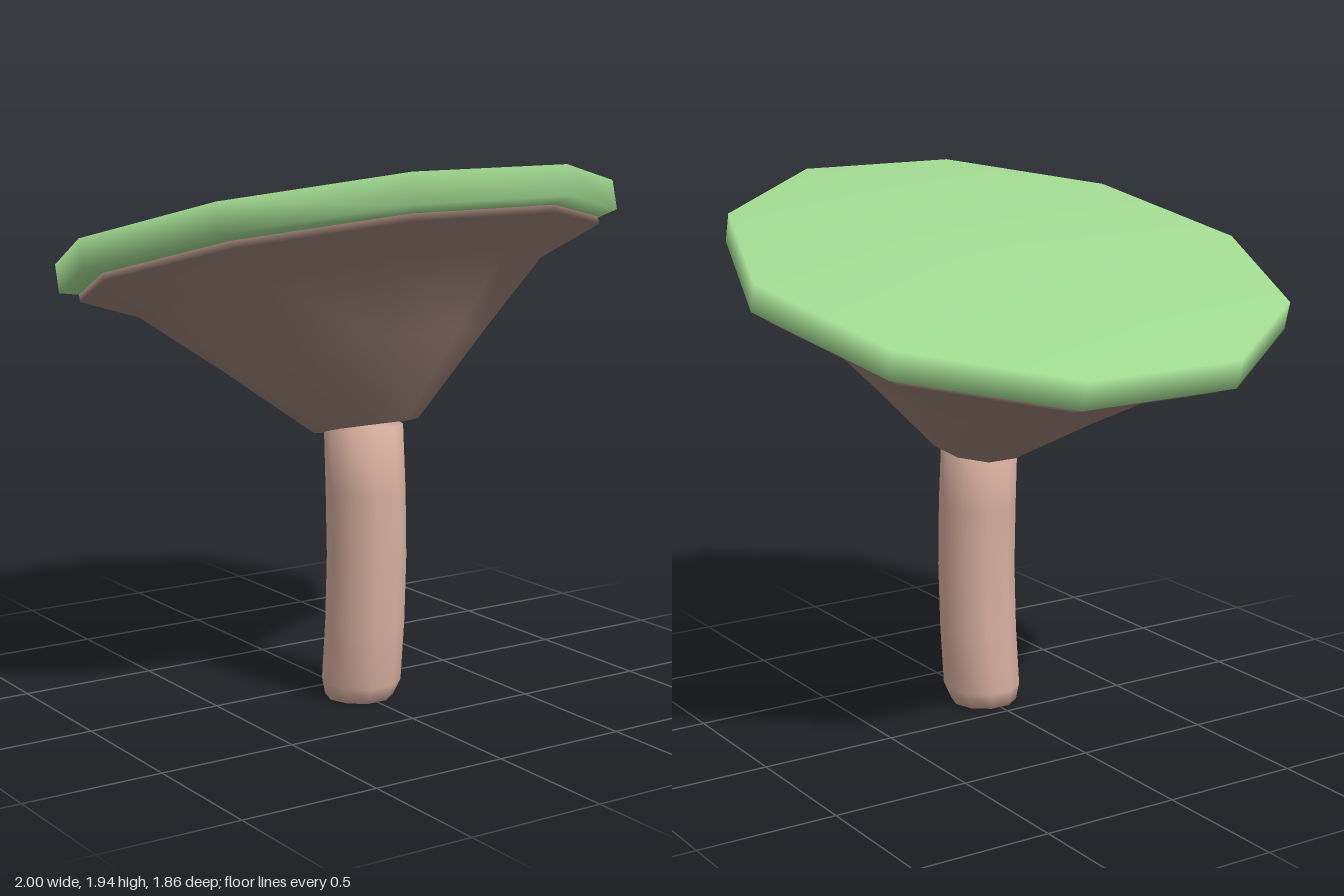
import * as THREE from 'three';
import { mergeVertices } from 'three/addons/utils/BufferGeometryUtils.js';

const SIDES = 10;

// Ten-sided turned solid with softly blended normals.
// Each ring is [radius, height, shift in x, shift in z], listed bottom to top.
function turned(name, color, rings) {
  const profile = rings.map(([r, y]) => new THREE.Vector2(r, y));
  let geometry = new THREE.LatheGeometry(profile, SIDES, Math.PI / 2);
  const pos = geometry.attributes.position;
  for (let i = 0; i < pos.count; i++) {
    const [, , dx = 0, dz = 0] = rings[i % rings.length];
    pos.setX(i, pos.getX(i) + dx);
    pos.setZ(i, pos.getZ(i) + dz);
  }
  geometry.deleteAttribute('uv');
  geometry.deleteAttribute('normal');
  geometry = mergeVertices(geometry, 1e-4);
  geometry.computeVertexNormals();
  const mesh = new THREE.Mesh(geometry, new THREE.MeshStandardMaterial({ color }));
  mesh.name = name;
  return mesh;
}

export function createModel() {
  const model = new THREE.Group();
  model.name = 'mushroom';

  // Slightly bent stalk with a bevelled foot
  model.add(turned('stalk', 0xd9b0a0, [
    [0, 0, 0, 0.165],
    [0.122, 0, 0, 0.165],
    [0.142, 0.06, 0.005, 0.172],
    [0.142, 0.28, 0.011, 0.185],
    [0.142, 0.52, 0.014, 0.191],
    [0.142, 0.76, 0.011, 0.188],
    [0.14, 1, 0.005, 0.182],
    [0, 1, 0.005, 0.182],
  ]));

  // Head, tilted so its front edge is raised
  const head = new THREE.Group();
  head.name = 'head';
  head.position.set(0, 1.593, 0.015);
  head.rotation.x = -Math.PI / 12;

  // Flaring underside
  head.add(turned('underside', 0x9a8074, [
    [0, -0.627, 0, 0.03],
    [0.185, -0.627, 0, 0.03],
    [0.465, -0.36, 0, 0.008],
    [0.72, -0.128, 0, -0.015],
    [0.93, -0.042],
    [0.93, -0.015],
    [0, -0.015],
  ]));

  // Flat green cap with a narrow chamfer below
  head.add(turned('cap', 0xa0d890, [
    [0, -0.016],
    [0.93, -0.016],
    [1, 0],
    [1, 0.104],
    [0, 0.104],
  ]));

  model.add(head);
  return model;
}
